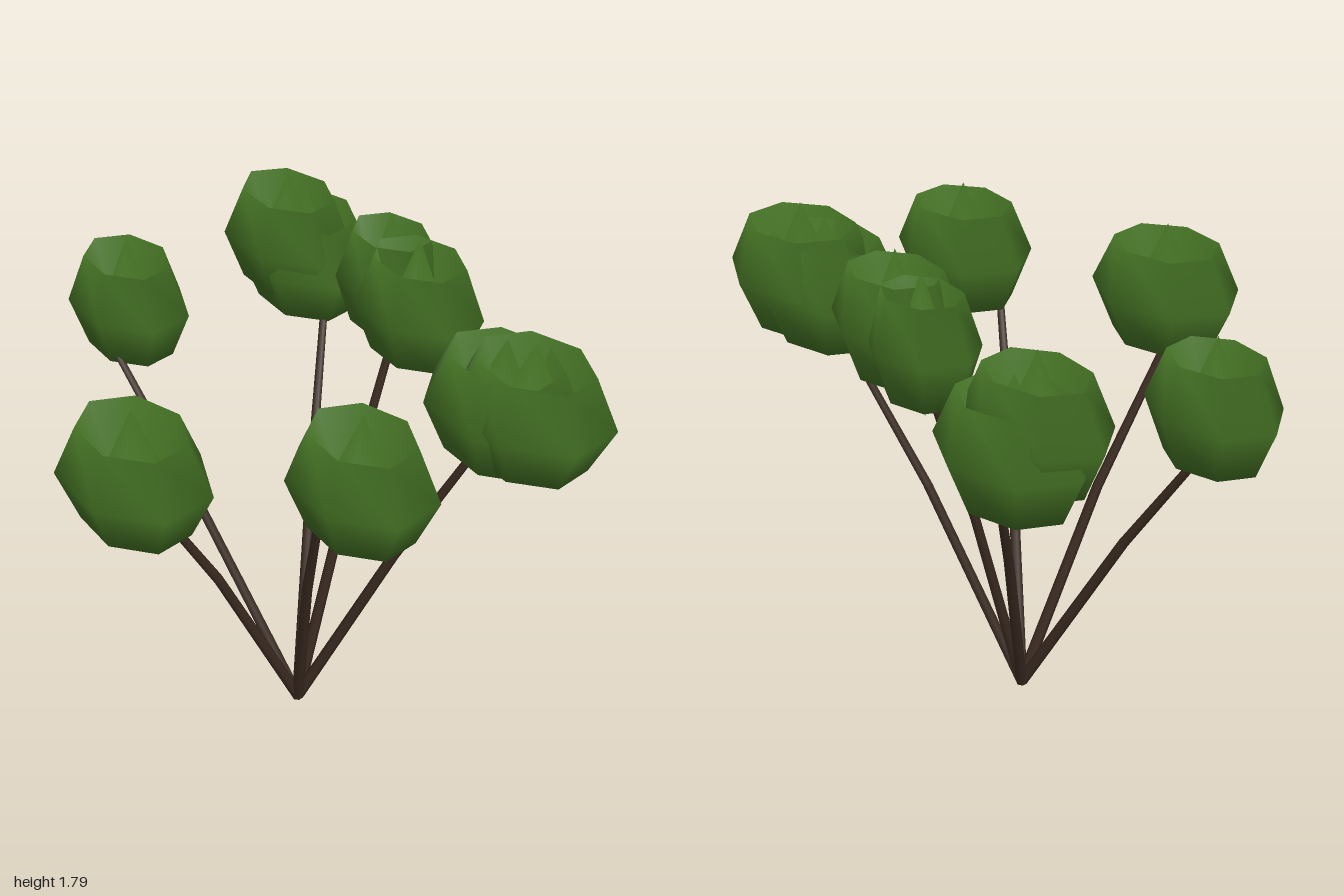
import * as THREE from 'three';
import { mergeVertices } from 'three/addons/utils/BufferGeometryUtils.js';

const leafGreen = new THREE.MeshStandardMaterial({ color: 0x416d22, side: THREE.DoubleSide });
leafGreen.name = 'leafGreen';
const barkBrown = new THREE.MeshStandardMaterial({ color: 0x3a2a20 });
barkBrown.name = 'barkBrown';

// Seven-sided ball whose end caps sink inwards and come out as a spike on the far side
function tuftGeometry() {
  let geo = new THREE.SphereGeometry(1, 7, 4);
  geo.deleteAttribute('uv');
  geo.deleteAttribute('normal');
  const pos = geo.attributes.position;
  for (let i = 0; i < pos.count; i++) {
    if (Math.abs(pos.getY(i)) > 0.99) pos.setXYZ(i, 0, -pos.getY(i), 0);
  }
  geo = mergeVertices(geo, 1e-4);
  geo.computeVertexNormals();
  return geo;
}

// Tapered round piece between two points
function limb(a, b, r0, r1) {
  const dir = b.clone().sub(a);
  const mesh = new THREE.Mesh(new THREE.CylinderGeometry(r1, r0, dir.length(), 6), barkBrown);
  mesh.position.copy(a).addScaledVector(dir, 0.5);
  mesh.quaternion.setFromUnitVectors(new THREE.Vector3(0, 1, 0), dir.normalize());
  return mesh;
}

export function createModel() {
  const model = new THREE.Group();
  model.name = 'tree';

  // Foliage: centre x, y, z, then radii x, y, z
  const tufts = [
    [-0.758, 1.378, 0.008, 0.242, 0.246, 0.187],
    [-0.02, 1.345, 0.62, 0.287, 0.246, 0.224],
    [0.58, 1.438, 0.23, 0.267, 0.246, 0.211],
    [0.735, 1.492, -0.365, 0.29, 0.246, 0.229],
    [0.63, 1.466, -0.35, 0.29, 0.246, 0.22],
    [-0.053, 1.547, -0.547, 0.211, 0.246, 0.161],
    [0.128, 1.547, -0.489, 0.246, 0.246, 0.187],
    [-0.58, 1.477, -0.583, 0.267, 0.246, 0.195],
    [-0.532, 1.399, -0.63, 0.28, 0.246, 0.217],
  ];
  const geo = tuftGeometry();
  for (const [x, y, z, rx, ry, rz] of tufts) {
    const tuft = new THREE.Mesh(geo, leafGreen);
    tuft.name = 'leafTuft';
    tuft.position.set(x, y, z);
    tuft.scale.set(rx, ry, rz);
    model.add(tuft);
  }

  // Stems fan out from one foot, each with a single bend
  const foot = new THREE.Vector3(0.025, 0.01, -0.05);
  const stems = [
    [[-0.36, 0.71, 0.05], [-0.73, 1.28, 0.125]],
    [[-0.035, 0.71, 0.27], [-0.11, 1.26, 0.57]],
    [[0.27, 0.78, 0.15], [0.47, 1.32, 0.29]],
    [[0.33, 0.76, -0.2], [0.585, 1.33, -0.35]],
    [[0.04, 0.76, -0.25], [0.052, 1.45, -0.48]],
    [[-0.2, 0.73, -0.33], [-0.4, 1.29, -0.59]],
  ];
  for (const [bend, tip] of stems) {
    const stem = new THREE.Group();
    stem.name = 'stem';
    const mid = new THREE.Vector3(...bend);
    stem.add(limb(foot, mid, 0.021, 0.018), limb(mid, new THREE.Vector3(...tip), 0.018, 0.013));
    model.add(stem);
  }
  return model;
}
